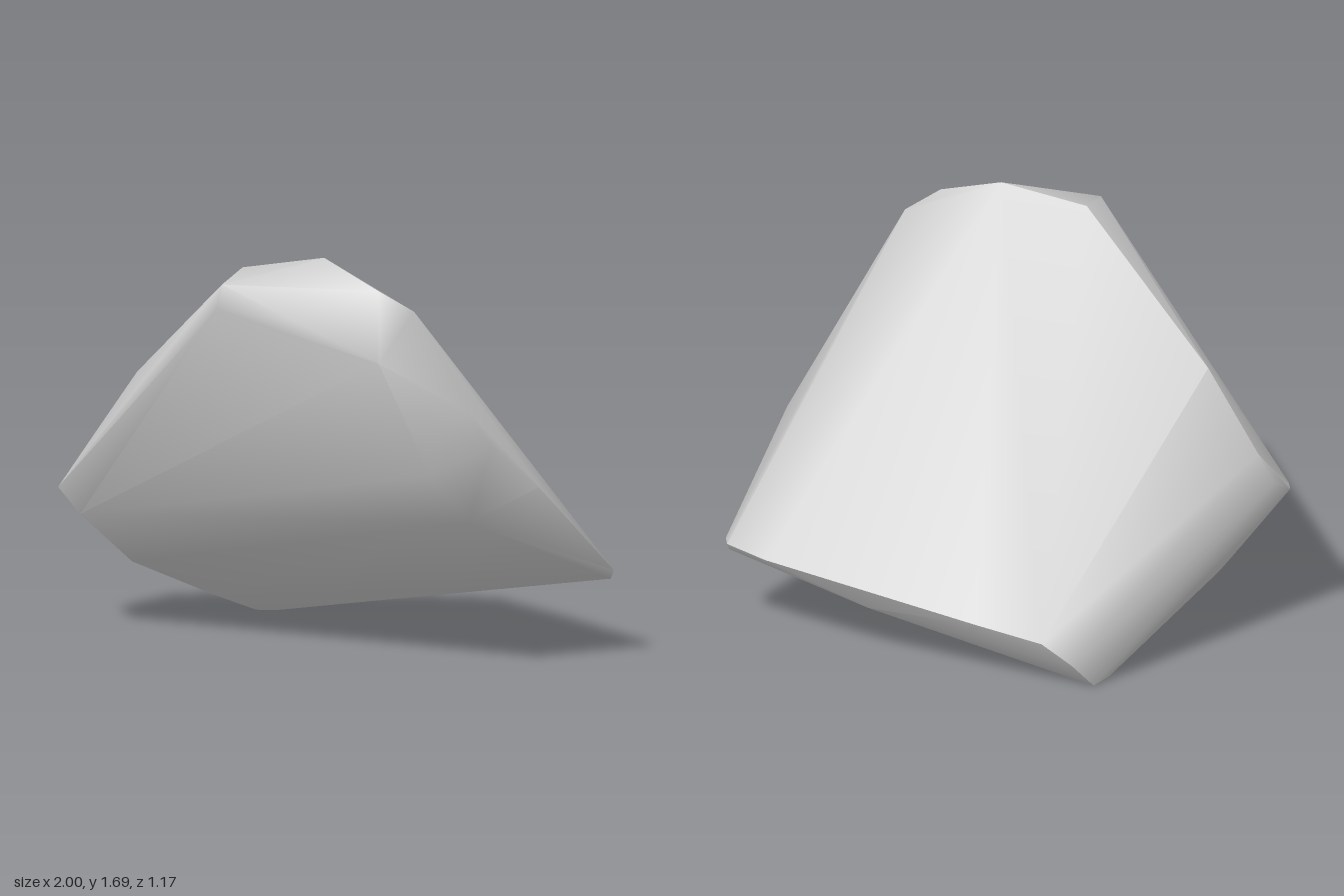
import * as THREE from 'three';
import { ConvexGeometry } from 'three/addons/geometries/ConvexGeometry.js';
import { toCreasedNormals } from 'three/addons/utils/BufferGeometryUtils.js';

// Corner rings of the leaning slab, as [x, y, z]
const crown = [
  [-0.11, 1.62, 0.41], [0.22, 1.69, 0.33], [0.49, 1.6, 0.35], [0.61, 1.52, 0.28],
  [-0.09, 1.59, 0.58], [-0.11, 1.49, 0.585], [0.22, 1.48, 0.54], [0.58, 1.35, 0.48],
];
const rightEdge = [
  [-0.69, 1.09, 0.29], [-0.93, 0.79, 0.24], [-0.98, 0.66, 0.28], [-1, 0.6, 0.38],
  [-0.98, 0.61, 0.41], [-0.89, 0.51, 0.39], [-0.84, 0.36, 0.21], [-0.79, 0.29, 0.18],
];
const leftEdge = [
  [0.8, 1.12, 0.18], [0.85, 0.98, 0.1], [0.93, 0.78, -0.11],
  [0.74, 1.05, 0.28], [0.7, 0.88, 0.3], [0.76, 0.66, 0.12],
];
const foot = [
  [-0.63, 0.1, -0.17], [-0.57, 0.015, -0.35], [-0.54, 0, -0.43], [-0.49, 0.11, -0.52],
  [-0.38, 0.2, -0.565], [-0.11, 0.24, -0.59], [0.8, 0.34, -0.585], [0.38, 0.2, -0.54],
  [0.98, 0.36, -0.55], [1, 0.37, -0.52], [0.98, 0.33, -0.53],
];

export function createModel() {
  const group = new THREE.Group();
  group.name = 'rock';

  const stone = new THREE.MeshStandardMaterial({ color: 0xc8c8c8 });
  stone.name = 'light grey stone';

  // Solid stone: hull of the rings, soft across faces and sharp at the rims
  const points = [crown, rightEdge, leftEdge, foot].flat().map((p) => new THREE.Vector3(...p));
  const slab = new THREE.Mesh(toCreasedNormals(new ConvexGeometry(points), 1), stone);
  slab.name = 'stoneSlab';
  group.add(slab);
  return group;
}
